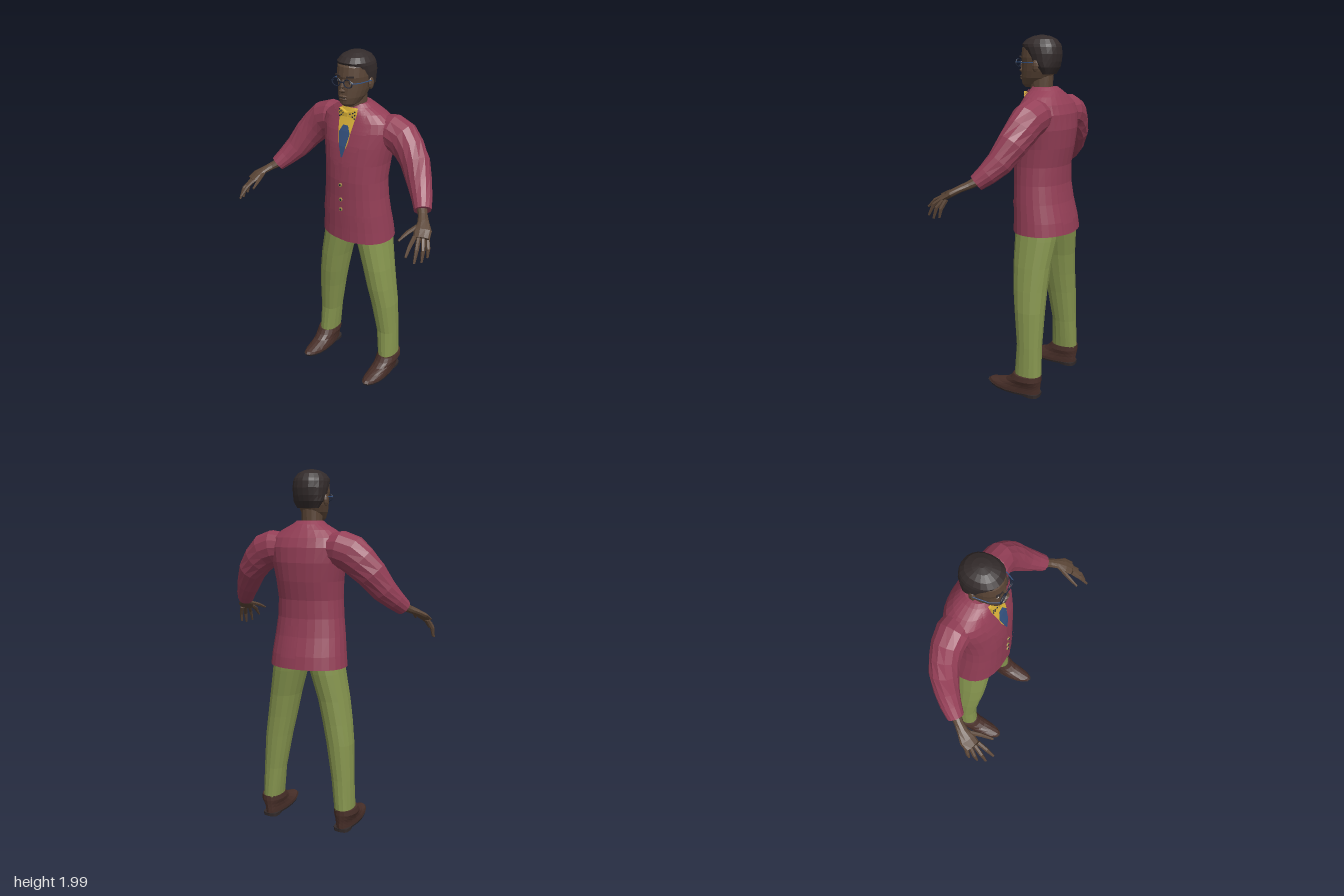
import * as THREE from 'three';

const mat = (name, color, side = THREE.FrontSide) => {
  const m = new THREE.MeshStandardMaterial({ color, side });
  m.name = name;
  return m;
};

export function createModel() {
  const model = new THREE.Group();
  model.name = 'suitedMan';
  const M = {
    jacket: mat('jacketRed', 0x933e56), trousers: mat('trouserGreen', 0x85944e),
    skin: mat('skinBrown', 0x5a4536), hair: mat('hairBlack', 0x332b2b),
    shoe: mat('shoeBrown', 0x482f29), yellow: mat('shirtYellow', 0xd8b038),
    blue: mat('vestBlue', 0x34517f), dark: mat('frameDark', 0x20283c),
    white: mat('eyeWhite', 0xc9c2b8), gold: mat('buttonGold', 0xa08a4a),
  };

  // Faceted normals for the low-poly look
  const facet = (geo) => {
    const g = geo.index ? geo.toNonIndexed() : geo.clone();
    g.deleteAttribute('uv');
    g.computeVertexNormals();
    return g;
  };
  const add = (name, geo, material) => {
    const mesh = new THREE.Mesh(facet(geo), material);
    mesh.name = name;
    model.add(mesh);
    return mesh;
  };
  // Adds a part on +x (left) and its mirror on -x (right)
  const pair = (name, geo, material) => {
    add('left' + name, geo, material);
    const g = facet(geo), p = g.attributes.position;
    for (let i = 0; i < p.count; i += 3) {
      const v = [0, 2, 1].map((k) => new THREE.Vector3().fromBufferAttribute(p, i + k));
      v.forEach((q, k) => p.setXYZ(i + k, -q.x, q.y, q.z));
    }
    add('right' + name, g, material);
  };

  // Skin over rows of points, optionally closed around and capped at the ends
  const skinRows = (rows, closed) => {
    const n = rows[0].length, pts = rows.flat(), idx = [];
    for (let i = 0; i < rows.length - 1; i++) {
      for (let j = 0; j < (closed ? n : n - 1); j++) {
        const k = (j + 1) % n, a = i * n + j, b = i * n + k;
        idx.push(a, b, b + n, a, b + n, a + n);
      }
    }
    if (closed) {
      [0, rows.length - 1].forEach((r) => {
        const c = new THREE.Vector3();
        rows[r].forEach((p) => c.addScaledVector(p, 1 / n));
        const ci = pts.push(c) - 1;
        for (let j = 0; j < n; j++) {
          const a = r * n + j, b = r * n + (j + 1) % n;
          r ? idx.push(ci, a, b) : idx.push(ci, b, a);
        }
      });
    }
    return new THREE.BufferGeometry().setFromPoints(pts).setIndex(idx);
  };
  const pw = (v, p) => Math.sign(v) * Math.abs(v) ** (2 / p);

  // Horizontal rings, bottom to top: [y, centre x, half width, front z, back z]
  const stack = (rings, n = 20, p = 2.2) => skinRows(rings.map(([y, cx, rx, zf, zb]) =>
    Array.from({ length: n }, (_, j) => {
      const t = j / n * Math.PI * 2;
      return new THREE.Vector3(cx + rx * pw(Math.sin(t), p), y,
        (zf + zb) / 2 + (zf - zb) / 2 * pw(Math.cos(t), p));
    })), true);

  // Rings square to a path: [x, y, z, side radius, upper radius]
  const limb = (path, n = 12) => {
    const c = path.map((q) => new THREE.Vector3(q[0], q[1], q[2]));
    return skinRows(path.map((q, i) => {
      const t = c[Math.min(i + 1, c.length - 1)].clone().sub(c[Math.max(i - 1, 0)]).normalize();
      const s = new THREE.Vector3(0, 1, 0).cross(t).normalize();
      const v = t.clone().cross(s);
      return Array.from({ length: n }, (_, j) => {
        const a = j / n * Math.PI * 2;
        return c[i].clone().addScaledVector(s, q[3] * Math.cos(a)).addScaledVector(v, q[4] * Math.sin(a));
      });
    }), true);
  };
  const blob = (x, y, z, rx, ry, rz, w = 10, h = 7) =>
    new THREE.SphereGeometry(1, w, h).scale(rx, ry, rz).translate(x, y, z);
  const box = (x, y, z, w, h, d) => new THREE.BoxGeometry(w, h, d).translate(x, y, z);

  // Jacket body
  const body = [
    [0.93, 0, 0.22, 0.05, -0.285], [1.0, 0, 0.213, 0.05, -0.275], [1.1, 0, 0.202, 0.052, -0.25],
    [1.2, 0, 0.19, 0.052, -0.235], [1.3, 0, 0.184, 0.055, -0.236], [1.4, 0, 0.19, 0.05, -0.255],
    [1.5, 0, 0.208, 0.038, -0.265], [1.58, 0, 0.222, 0.018, -0.258], [1.63, 0, 0.21, 0.0, -0.238],
    [1.67, 0, 0.155, -0.012, -0.212], [1.7, 0, 0.095, -0.022, -0.19], [1.718, 0, 0.072, -0.035, -0.168]];
  add('jacketBody', stack(body, 28, 2.2), M.jacket);

  // Depth of the jacket's front (dir 1) or back (dir -1) at a point
  const bodyZ = (x, y, dir) => {
    const i = Math.max(0, Math.min(body.length - 2, body.findIndex((r) => r[0] > y) - 1));
    const f = (y - body[i][0]) / (body[i + 1][0] - body[i][0]);
    const [, , rx, zf, zb] = body[i].map((v, k) => v + (body[i + 1][k] - v) * f);
    const bulge = Math.max(0, 1 - Math.abs(x / rx) ** 2.2) ** (1 / 2.2);
    return (zf + zb) / 2 + dir * (zf - zb) / 2 * bulge;
  };
  // Thin cloth panel lying on the jacket; rows bottom to top: [y, x start, x end]
  const panel = (rows, off, dir = 1) => {
    const grid = [];
    for (let i = 0; i < rows.length - 1; i++) {
      for (let s = 0; s < (i === rows.length - 2 ? 5 : 4); s++) {
        const [y, a, b] = rows[i].map((v, k) => v + (rows[i + 1][k] - v) * s / 4);
        grid.push(Array.from({ length: 7 }, (_, j) => {
          const x = a + (b - a) * j / 6;
          return new THREE.Vector3(x, y, bodyZ(x, y, dir) + dir * off);
        }));
      }
    }
    return skinRows(grid, false);
  };
  add('shirtFront', panel([[1.49, -0.022, 0.022], [1.56, -0.04, 0.04], [1.66, -0.056, 0.056], [1.7, -0.05, 0.05]], 0.004), M.yellow);
  add('blueVest', panel([[1.44, -0.004, 0.004], [1.5, -0.022, 0.022], [1.57, -0.036, 0.036], [1.61, -0.016, 0.016]], 0.007), M.blue);
  pair('Lapel', panel([[1.3, 0, 0.006], [1.42, 0.018, 0.062], [1.54, 0.036, 0.112], [1.61, 0.046, 0.142],
    [1.625, 0.049, 0.108], [1.67, 0.056, 0.105], [1.705, 0.054, 0.075]], 0.009), M.jacket);
  add('frontOverlap', panel([[0.932, 0.02, 0.05], [1.1, -0.012, 0.06], [1.3, -0.008, 0.05]], 0.005), M.jacket);
  add('backVent', panel([[0.932, 0.1, 0.0], [1.16, 0.09, 0.0]], 0.007, -1), M.jacket);
  pair('PocketFlap', panel([[1.07, 0.09, 0.165], [1.11, 0.085, 0.165]], 0.006), M.jacket);
  [1.28, 1.19, 1.13].forEach((y) => {
    const z = bodyZ(0, y, 1) + 0.008;
    add('button', new THREE.CylinderGeometry(0.011, 0.011, 0.008, 8).rotateX(Math.PI / 2).translate(0, y, z), M.gold);
    add('buttonCentre', box(0, y, z + 0.005, 0.009, 0.009, 0.004), M.dark);
  });

  // Sleeves
  pair('Sleeve', limb([[0.13, 1.575, -0.135, 0.085, 0.08], [0.2, 1.572, -0.14, 0.092, 0.098],
    [0.26, 1.55, -0.138, 0.085, 0.1], [0.31, 1.505, -0.13, 0.08, 0.093], [0.365, 1.445, -0.11, 0.077, 0.084],
    [0.42, 1.36, -0.07, 0.066, 0.07], [0.465, 1.305, -0.025, 0.056, 0.056], [0.5, 1.262, 0.02, 0.046, 0.044]], 14), M.jacket);

  // Forearms, hands and fingers
  pair('Hand', limb([[0.475, 1.285, -0.005, 0.03, 0.028], [0.52, 1.252, 0.05, 0.025, 0.021],
    [0.545, 1.235, 0.085, 0.03, 0.018], [0.568, 1.212, 0.125, 0.045, 0.018], [0.582, 1.188, 0.16, 0.042, 0.014]], 10), M.skin);
  [['Index', [0.553, 1.193, 0.178], [0.56, 1.165, 0.232], [0.565, 1.125, 0.275]],
    ['Middle', [0.572, 1.188, 0.168], [0.593, 1.15, 0.218], [0.6, 1.09, 0.248]],
    ['Ring', [0.589, 1.184, 0.152], [0.612, 1.14, 0.187], [0.617, 1.082, 0.205]],
    ['Little', [0.602, 1.184, 0.134], [0.621, 1.138, 0.153], [0.625, 1.092, 0.162]],
    ['Thumb', [0.535, 1.225, 0.105], [0.512, 1.205, 0.175], [0.497, 1.18, 0.238]],
  ].forEach(([name, a, b, c]) => {
    pair(name + 'Finger', limb([[...a, 0.012, 0.012], [...b, 0.011, 0.011], [...c, 0.006, 0.006]], 6), M.skin);
  });

  // Trousers
  pair('TrouserLeg', stack([[0.1, 0.232, 0.053, -0.045, -0.205], [0.3, 0.217, 0.062, -0.055, -0.2],
    [0.5, 0.195, 0.075, -0.03, -0.204], [0.62, 0.175, 0.08, -0.012, -0.207], [0.75, 0.152, 0.084, 0.0, -0.215],
    [0.9, 0.118, 0.092, 0.008, -0.235], [0.96, 0.105, 0.095, 0.01, -0.24]], 16), M.trousers);

  // Shoes with soles turned up at the toe
  const toeUp = (g) => {
    const p = g.attributes.position;
    for (let i = 0; i < p.count; i++) p.setY(i, p.getY(i) + Math.max(0, p.getZ(i) - 0.03) * 0.15);
    return g;
  };
  pair('Shoe', toeUp(stack([[0.018, 0.23, 0.056, 0.136, -0.2], [0.035, 0.23, 0.057, 0.122, -0.202],
    [0.055, 0.231, 0.056, 0.07, -0.203], [0.075, 0.233, 0.058, 0.015, -0.205], [0.1, 0.235, 0.066, -0.02, -0.208],
    [0.128, 0.235, 0.062, -0.04, -0.207]], 18, 2.1)), M.shoe);
  pair('Sole', toeUp(stack([[0.008, 0.23, 0.054, 0.13, -0.2], [0.02, 0.23, 0.058, 0.14, -0.204]], 18, 2.1)), M.hair);
  pair('Heel', stack([[0, 0.23, 0.046, -0.1, -0.2], [0.02, 0.23, 0.048, -0.095, -0.202]], 12, 3), M.hair);

  // Neck and head
  add('neck', stack([[1.64, 0, 0.062, -0.025, -0.15], [1.7, 0, 0.055, -0.022, -0.14], [1.79, 0, 0.055, -0.01, -0.145]], 14), M.skin);
  add('head', stack([[1.714, 0, 0.026, 0.018, -0.045], [1.73, 0, 0.048, 0.034, -0.09], [1.765, 0, 0.067, 0.037, -0.135],
    [1.8, 0, 0.076, 0.034, -0.158], [1.845, 0, 0.083, 0.03, -0.172], [1.87, 0, 0.086, 0.036, -0.176],
    [1.92, 0, 0.085, 0.029, -0.178], [1.955, 0, 0.068, 0.005, -0.16]], 20), M.skin);
  add('hair', stack([[1.785, 0, 0.062, -0.1, -0.155], [1.82, 0, 0.084, -0.07, -0.176], [1.85, 0, 0.091, -0.025, -0.186],
    [1.89, 0, 0.095, -0.004, -0.192], [1.925, 0, 0.094, 0.02, -0.189], [1.94, 0, 0.09, 0.028, -0.184],
    [1.965, 0, 0.072, 0.004, -0.163], [1.982, 0, 0.042, -0.034, -0.127], [1.988, 0, 0.012, -0.068, -0.095]], 20), M.hair);
  pair('Ear', blob(0.088, 1.828, -0.088, 0.012, 0.032, 0.02, 8, 6), M.skin);

  // Face
  add('nose', limb([[0, 1.858, 0.03, 0.009, 0.008], [0, 1.82, 0.041, 0.012, 0.012], [0, 1.804, 0.044, 0.019, 0.013],
    [0, 1.795, 0.038, 0.014, 0.008]], 8), M.skin);
  add('upperLip', blob(0, 1.772, 0.037, 0.027, 0.007, 0.011), M.skin);
  add('lowerLip', blob(0, 1.758, 0.036, 0.024, 0.008, 0.011), M.skin);
  add('mouthLine', box(0, 1.765, 0.043, 0.036, 0.003, 0.005), M.hair);
  pair('Eye', blob(0.035, 1.844, 0.018, 0.014, 0.007, 0.009), M.white);
  pair('Pupil', blob(0.035, 1.844, 0.026, 0.006, 0.006, 0.003, 8, 6), M.hair);
  pair('Eyebrow', new THREE.BoxGeometry(0.04, 0.008, 0.008).rotateY(0.3).rotateZ(0.08).translate(0.038, 1.874, 0.027), M.hair);

  // Glasses
  pair('LensRim', new THREE.TorusGeometry(0.024, 0.003, 5, 18).scale(1.1, 0.85, 1).translate(0.037, 1.844, 0.044), M.dark);
  add('glassesBridge', box(0, 1.848, 0.047, 0.024, 0.005, 0.005), M.dark);
  pair('GlassesTemple', limb([[0.063, 1.848, 0.044, 0.003, 0.003], [0.086, 1.846, 0.0, 0.003, 0.003],
    [0.096, 1.845, -0.08, 0.003, 0.003]], 5), M.blue);

  // Spotted bow tie
  const wing = new THREE.Shape([[0, -0.008], [0.05, -0.026], [0.056, 0], [0.05, 0.026], [0, 0.008]]
    .map(([x, y]) => new THREE.Vector2(x, y)));
  pair('BowTieWing', new THREE.ExtrudeGeometry(wing, { depth: 0.016, bevelEnabled: false })
    .rotateY(0.2).translate(0, 1.668, -0.006), M.yellow);
  add('bowTieKnot', box(0, 1.668, 0.004, 0.018, 0.022, 0.022), M.yellow);
  [[0.02, 0.004], [0.034, -0.01], [0.036, 0.01], [0.047, 0], [0.047, 0.018], [0.046, -0.018]].forEach(([x, y]) => {
    pair('BowTieSpot', new THREE.CylinderGeometry(0.0042, 0.0042, 0.003, 6).rotateX(Math.PI / 2)
      .translate(x, y, 0.017).rotateY(0.2).translate(0, 1.668, -0.006), M.dark);
  });
  return model;
}
